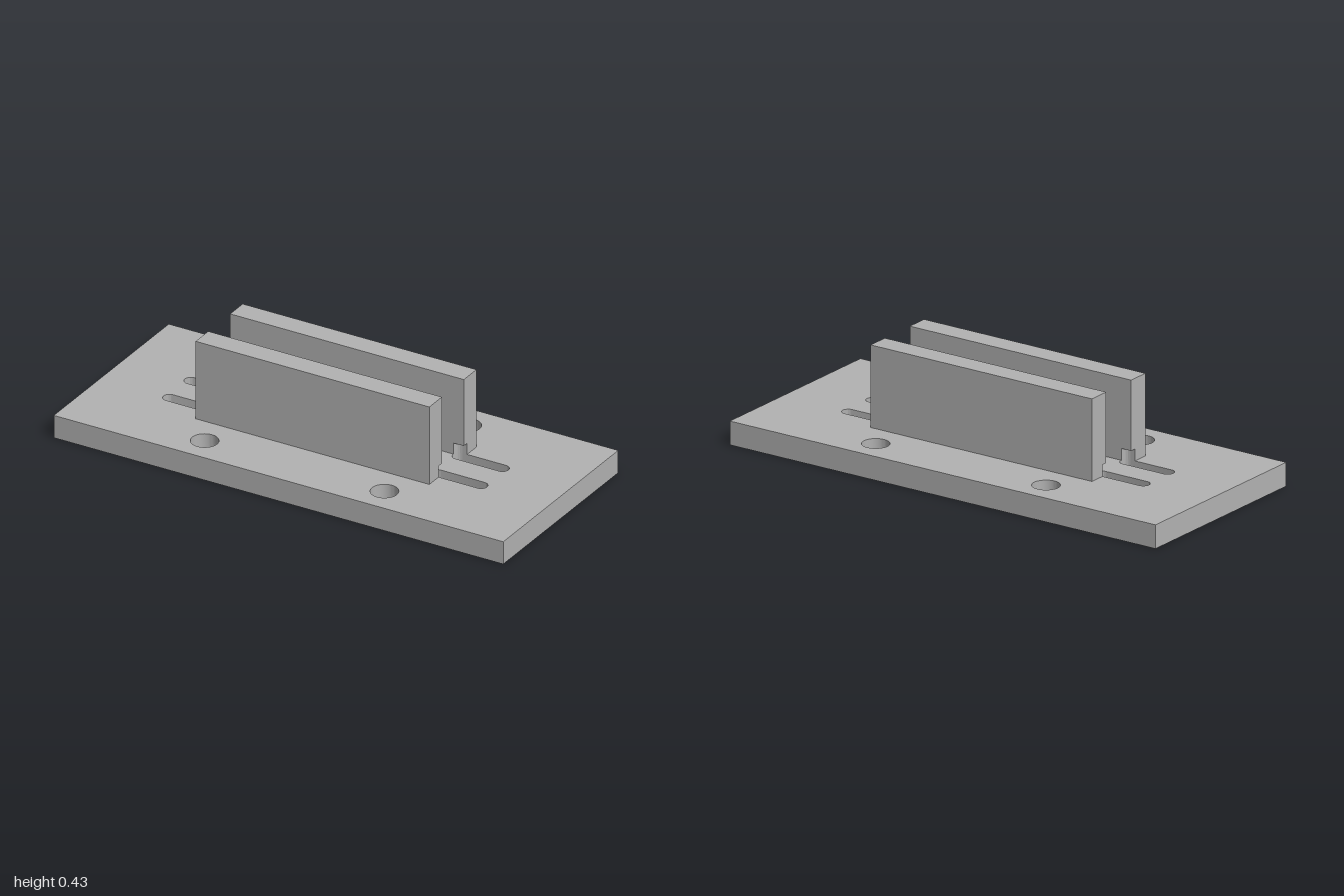
import * as THREE from 'three';
import { toCreasedNormals } from 'three/addons/utils/BufferGeometryUtils.js';

const PLATE = 0.097, POCKET = 0.03, NOTCH_TOP = 0.145, TOP = 0.433;
const SLOT_Z = 0.08, SLOT_R = 0.0265, SLOT_IN = 0.5, SLOT_OUT = 0.693;
const WALL_X = 0.52, WALL_IN = 0.082, WALL_OUT = 0.176;
const SIGNS = [-1, 1];

// Upright slab from a plan outline (plan y becomes -z)
function slab(shape, y0, y1) {
  const geo = new THREE.ExtrudeGeometry(shape, { depth: y1 - y0, bevelEnabled: false, curveSegments: 24 });
  geo.rotateX(-Math.PI / 2).translate(0, y0, 0);
  return toCreasedNormals(geo, 0.6);
}

function rectangle(x0, y0, x1, y1, Type = THREE.Shape) {
  const s = new Type();
  s.moveTo(x0, y0);
  s.lineTo(x1, y0);
  s.lineTo(x1, y1);
  s.lineTo(x0, y1);
  s.closePath();
  return s;
}

function roundSlot(cx, cy) {
  const half = (SLOT_OUT - SLOT_IN) / 2;
  const p = new THREE.Path();
  p.absarc(cx + half, cy, SLOT_R, -Math.PI / 2, Math.PI / 2, false);
  p.absarc(cx - half, cy, SLOT_R, Math.PI / 2, Math.PI * 1.5, false);
  p.closePath();
  return p;
}

// One layer of the base, with bolt holes and four slots
function baseLayer(y0, y1, slotPath) {
  const s = rectangle(-1, -0.43, 1, 0.43);
  for (const sx of SIGNS) for (const sz of SIGNS) {
    s.holes.push(new THREE.Path().absarc(sx * 0.4, sz * 0.31, 0.055, 0, Math.PI * 2, false));
    s.holes.push(slotPath(sx * (SLOT_IN + SLOT_OUT) / 2, sz * SLOT_Z));
  }
  return slab(s, y0, y1);
}

// Foot of the wall, relieved at both inner corners by the slot ends
function notchedFoot() {
  const s = new THREE.Shape();
  const a = Math.asin((WALL_IN - SLOT_Z) / SLOT_R);
  const edge = SLOT_Z + SLOT_R;
  s.moveTo(-WALL_X, WALL_OUT);
  s.lineTo(-WALL_X, edge);
  s.lineTo(-SLOT_IN, edge);
  s.absarc(-SLOT_IN, SLOT_Z, SLOT_R, Math.PI / 2, a, true);
  s.absarc(SLOT_IN, SLOT_Z, SLOT_R, Math.PI - a, Math.PI / 2, true);
  s.lineTo(WALL_X, edge);
  s.lineTo(WALL_X, WALL_OUT);
  s.closePath();
  return slab(s, PLATE, NOTCH_TOP);
}

export function createModel() {
  const model = new THREE.Group();
  const grey = new THREE.MeshStandardMaterial({ color: 0xb2b2b2 });
  grey.name = 'plain grey';
  const add = (parent, name, geo) => {
    const mesh = new THREE.Mesh(geo, grey);
    mesh.name = name;
    parent.add(mesh);
  };

  // Base plate: square pockets underneath, round-ended slots above
  const base = new THREE.Group();
  base.name = 'basePlate';
  add(base, 'pocketLayer', baseLayer(0, POCKET, (x, y) =>
    rectangle(x - 0.133, y - 0.031, x + 0.133, y + 0.031, THREE.Path)));
  add(base, 'slotLayer', baseLayer(POCKET, PLATE, roundSlot));
  model.add(base);

  // Two facing upright walls
  for (const [name, turn] of [['backWall', 0], ['frontWall', Math.PI]]) {
    const wall = new THREE.Group();
    wall.name = name;
    add(wall, 'wallFoot', notchedFoot());
    add(wall, 'wallBody', slab(rectangle(-WALL_X, WALL_IN, WALL_X, WALL_OUT), NOTCH_TOP, TOP));
    wall.rotation.y = turn;
    model.add(wall);
  }
  return model;
}
